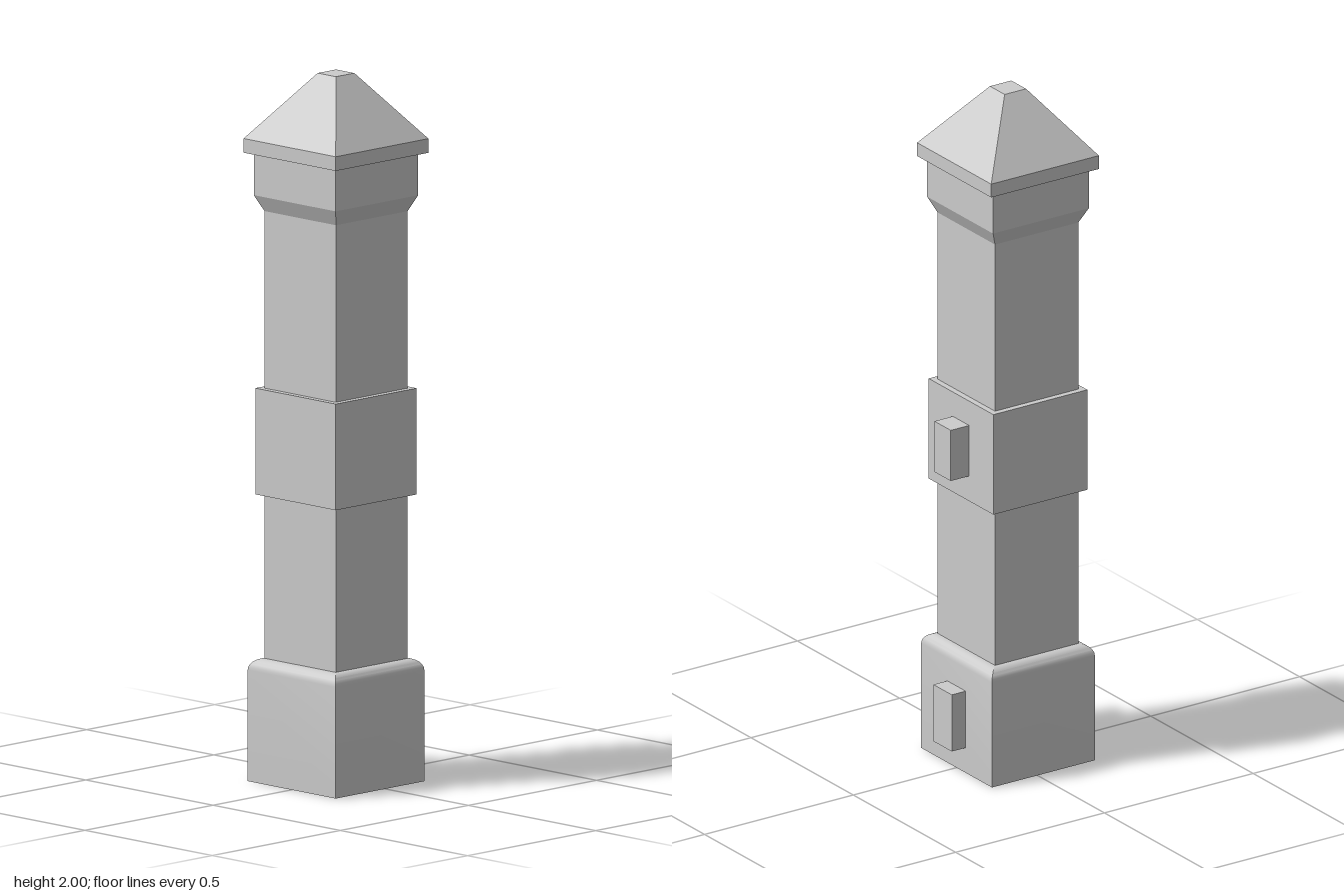
import * as THREE from 'three';
import { toCreasedNormals } from 'three/addons/utils/BufferGeometryUtils.js';

const AXIS_X = -0.02; // the post sits slightly off centre, balanced by the side blocks

export function createModel() {
  const model = new THREE.Group();
  model.name = 'squarePost';
  const material = new THREE.MeshStandardMaterial({ color: 0xcccccc });

  function add(name, geometry, x, y = 0, z = 0) {
    const mesh = new THREE.Mesh(geometry, material);
    mesh.name = name;
    mesh.position.set(x, y, z);
    model.add(mesh);
  }

  // Square section swept up a profile of [half width, height], closed at both ends
  function squareTurned(name, profile) {
    const points = profile.map(([half, y]) => new THREE.Vector2(half * Math.SQRT2, y));
    points.unshift(new THREE.Vector2(0, profile[0][1]));
    points.push(new THREE.Vector2(0, profile[profile.length - 1][1]));
    const geometry = new THREE.LatheGeometry(points, 4, Math.PI / 4);
    add(name, toCreasedNormals(geometry, 0.35), AXIS_X);
  }

  // Block standing out from the +x face
  function sideBlock(name, x0, x1, y0, y1, depth) {
    add(name, new THREE.BoxGeometry(x1 - x0, y1 - y0, depth), (x0 + x1) / 2, (y0 + y1) / 2);
  }

  // Plinth with a rounded upper rim
  const plinth = [[0.173, 0]];
  const rim = 0.033, steps = 6;
  for (let i = 0; i <= steps; i++) {
    const a = (i / steps) * Math.PI / 2;
    plinth.push([0.173 - rim + rim * Math.cos(a), 0.347 - rim + rim * Math.sin(a)]);
  }
  squareTurned('plinth', plinth);

  // Shaft and its middle collar
  squareTurned('shaft', [[0.14, 0.34], [0.14, 1.62]]);
  squareTurned('collar', [[0.158, 0.81], [0.158, 1.11]]);

  // Flared head, then the eaves slab and blunt pyramid roof
  squareTurned('head', [[0.14, 1.61], [0.161, 1.655], [0.161, 1.78]]);
  squareTurned('roof', [[0.181, 1.775], [0.181, 1.815], [0.036, 2]]);

  // Small blocks on the left side
  sideBlock('plinthBlock', 0.14, 0.2, 0.075, 0.245, 0.09);
  sideBlock('collarBlock', 0.13, 0.2, 0.885, 1.037, 0.08);

  return model;
}
